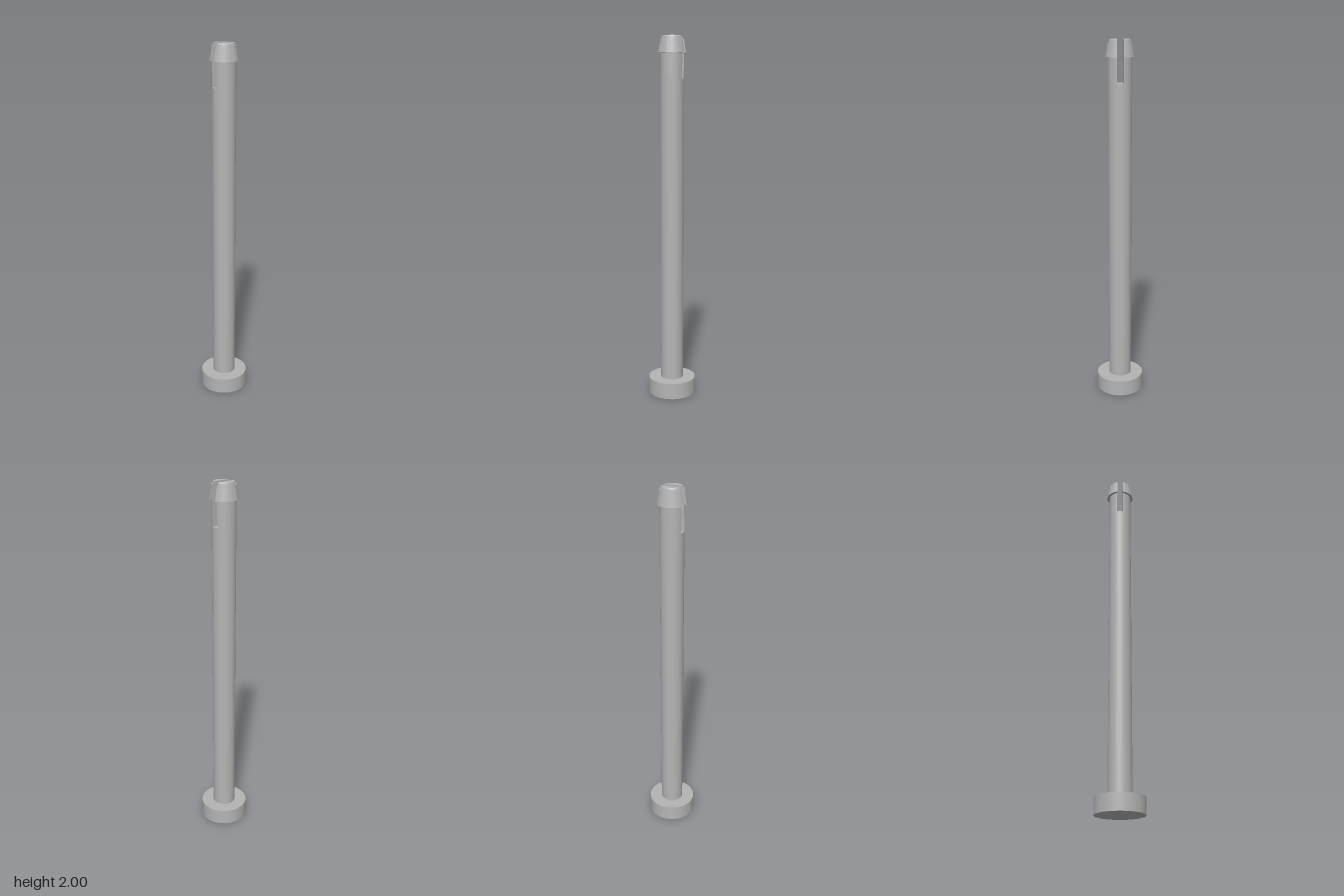
import * as THREE from 'three';
import { toCreasedNormals } from 'three/addons/utils/BufferGeometryUtils.js';

const SHAFT_R = 0.0635, SLOT = 0.0175, SLOT_Y = 1.775, HEAD_H = 0.09;

// Round profile [radius, y] cut off by the flat slot wall at z = SLOT
function prongGeometry(profile, steps = 48) {
  const positions = [], index = [], n = steps + 1;
  for (const [r, y] of profile) {
    const start = Math.asin(SLOT / r);
    for (let i = 0; i < n; i++) {
      const a = start + (Math.PI - 2 * start) * i / steps;
      positions.push(r * Math.cos(a), y, r * Math.sin(a));
    }
  }
  // Side walls, the last quad of each loop being the slot wall
  for (let row = 0; row < profile.length - 1; row++) {
    for (let i = 0; i < n; i++) {
      const a = row * n + i, b = row * n + (i + 1) % n;
      index.push(a, a + n, b, b, a + n, b + n);
    }
  }
  // Top cap
  const top = (profile.length - 1) * n;
  for (let i = 1; i < n - 1; i++) index.push(top, top + i + 1, top + i);
  const geometry = new THREE.BufferGeometry();
  geometry.setAttribute('position', new THREE.Float32BufferAttribute(positions, 3));
  geometry.setIndex(index);
  return toCreasedNormals(geometry, 0.35);
}

export function createModel() {
  const group = new THREE.Group();
  const steel = new THREE.MeshStandardMaterial({ color: 0xb4b4b4 });
  steel.name = 'grey steel';

  function add(name, geometry, y = 0) {
    const mesh = new THREE.Mesh(geometry, steel);
    mesh.name = name;
    mesh.position.y = y;
    group.add(mesh);
    return mesh;
  }

  // Flat disc head and long shaft
  add('head', new THREE.CylinderGeometry(0.132, 0.132, HEAD_H, 96), HEAD_H / 2);
  const length = SLOT_Y - HEAD_H;
  add('shaft', new THREE.CylinderGeometry(SHAFT_R, SHAFT_R, length, 96), HEAD_H + length / 2);

  // Two barbed prongs either side of the slot
  const prong = prongGeometry([
    [SHAFT_R, SLOT_Y], [SHAFT_R, 1.91], [0.077, 1.91],
    [0.0635, 1.987], [0.058, 1.987], [0.057, 1.994], [0.054, 2],
  ]);
  add('frontProng', prong);
  add('backProng', prong).rotation.y = Math.PI;

  return group;
}
